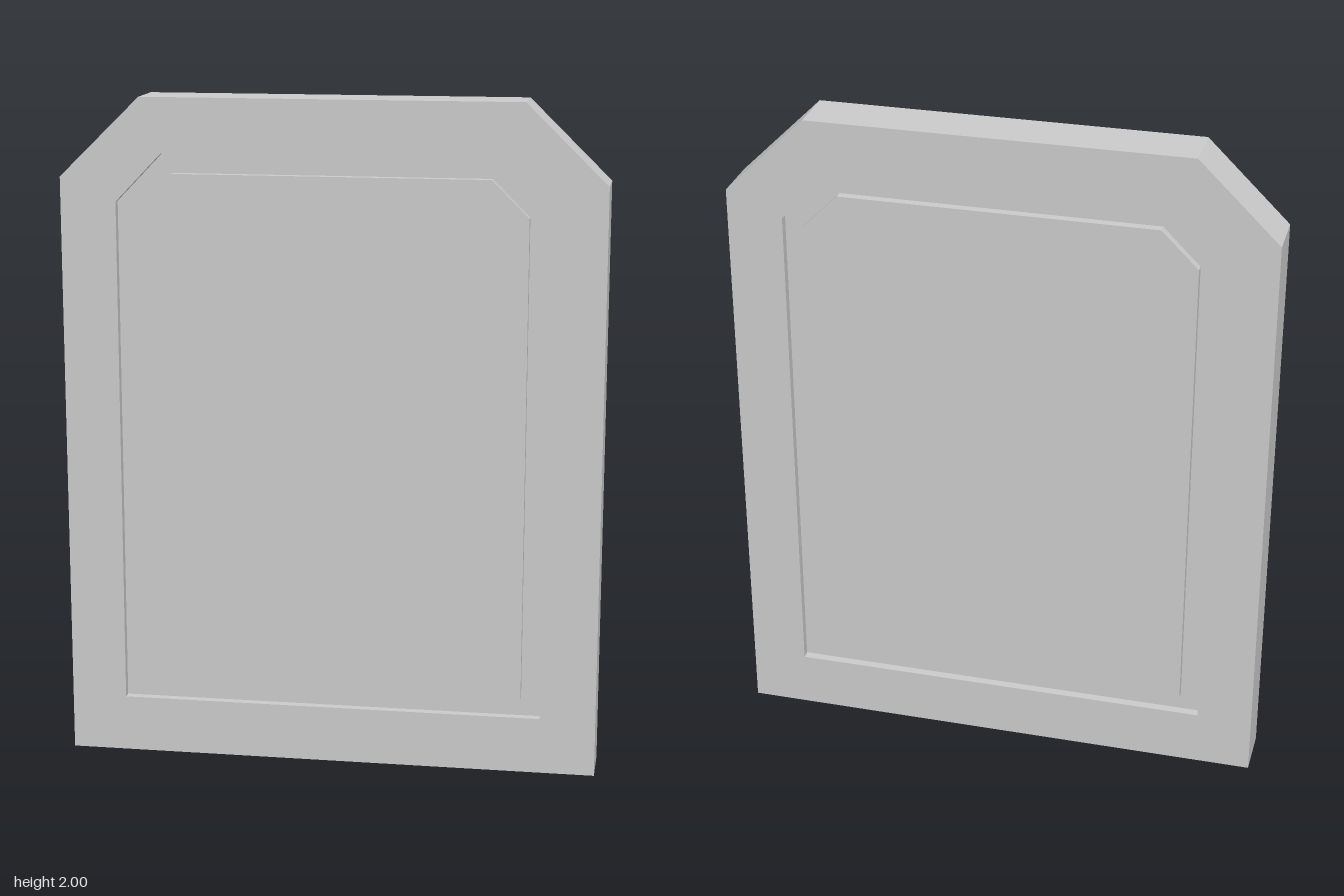
import * as THREE from 'three';

const HALF = 0.079;   // half thickness of the slab
const FLOOR = 0.053;  // z of the groove floor

// Arched outline with clipped top corners, counter-clockwise from the front
const outline = (w, bottom, top, cutX, cutY) => [
  [-w, bottom], [w, bottom], [w, top - cutY],
  [w - cutX, top], [-w + cutX, top], [-w, top - cutY],
];

export function createModel() {
  const body = outline(0.8, 0, 2, 0.24, 0.235);
  const grooveOuter = outline(0.634, 0.17, 1.837, 0.137, 0.143);
  const grooveInner = outline(0.576, 0.226, 1.779, 0.109, 0.109);

  // Loops from the raised front panel outward, then mirrored round to the back
  const front = [
    [grooveInner, HALF], [grooveInner, FLOOR],
    [grooveOuter, FLOOR], [grooveOuter, HALF],
    [body, HALF],
  ];
  const back = front.map(([pts, z]) => [pts, -z]).reverse();
  const loops = [...front, ...back].map(([pts, z]) => pts.map(([x, y]) => [x, y, z]));

  const positions = [];
  const tri = (a, b, c) => positions.push(...a, ...b, ...c);
  const n = body.length;

  // Walls, groove floors and rims between neighbouring loops
  for (let k = 0; k < loops.length - 1; k++) {
    const a = loops[k], b = loops[k + 1];
    for (let i = 0; i < n; i++) {
      const j = (i + 1) % n;
      tri(a[i], b[i], b[j]);
      tri(a[i], b[j], a[j]);
    }
  }

  // Raised panel faces, front and back
  const first = loops[0], last = loops[loops.length - 1];
  for (let i = 1; i < n - 1; i++) {
    tri(first[0], first[i], first[i + 1]);
    tri(last[0], last[i + 1], last[i]);
  }

  const geometry = new THREE.BufferGeometry();
  geometry.setAttribute('position', new THREE.Float32BufferAttribute(positions, 3));
  geometry.computeVertexNormals();

  const slab = new THREE.Mesh(
    geometry,
    new THREE.MeshStandardMaterial({ color: 0xcccccc, flatShading: true }),
  );
  slab.name = 'groovedSlab';

  const group = new THREE.Group();
  group.name = 'clippedCornerPanel';
  group.add(slab);
  return group;
}
